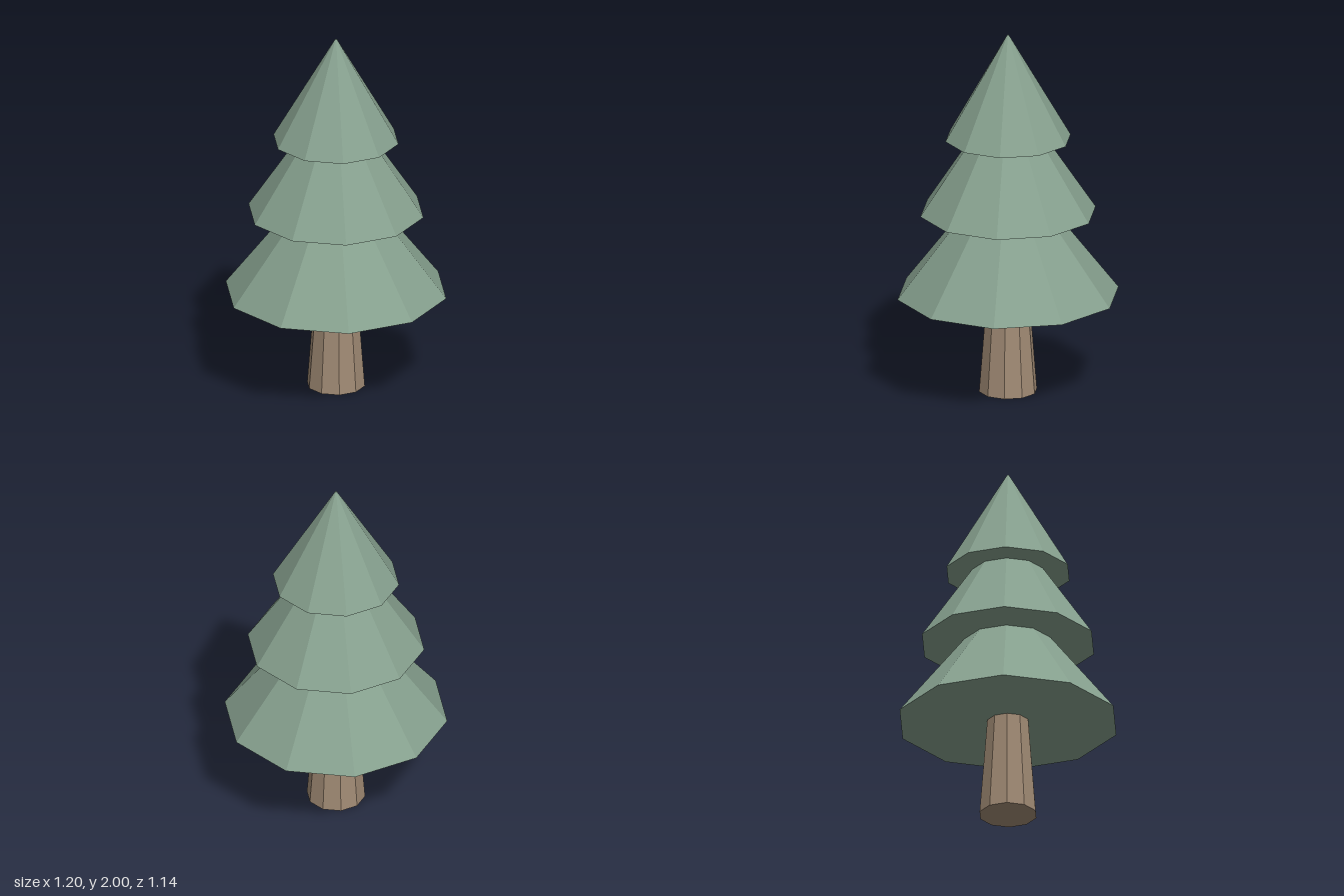
import * as THREE from 'three';

const SIDES = 10;

// Upright ten-sided frustum with a corner pointing along x
function frustum(name, bottomY, topY, bottomR, topR, material) {
  const geometry = new THREE.CylinderGeometry(
    topR, bottomR, topY - bottomY, SIDES, 1, false, Math.PI / 2);
  const mesh = new THREE.Mesh(geometry, material);
  mesh.name = name;
  mesh.position.y = (bottomY + topY) / 2;
  return mesh;
}

export function createModel() {
  const needles = new THREE.MeshStandardMaterial({ color: 0x86a08e, flatShading: true });
  needles.name = 'needle green';
  const bark = new THREE.MeshStandardMaterial({ color: 0xa08a74, flatShading: true });
  bark.name = 'bark brown';

  const tree = new THREE.Group();
  tree.name = 'pineTree';

  // Tapered trunk, running a little way into the lowest tier
  tree.add(frustum('trunk', 0, 0.6, 0.157, 0.11, bark));

  // Three overlapping tiers of branches: bottom y, top y, bottom radius, top radius
  const tiers = [
    ['lowerBranches', 0.545, 1.31, 0.6, 0.005],
    ['middleBranches', 1.005, 1.71, 0.476, 0.005],
    ['upperBranches', 1.42, 2, 0.34, 0.005],
  ];
  for (const tier of tiers) tree.add(frustum(...tier, needles));

  return tree;
}
